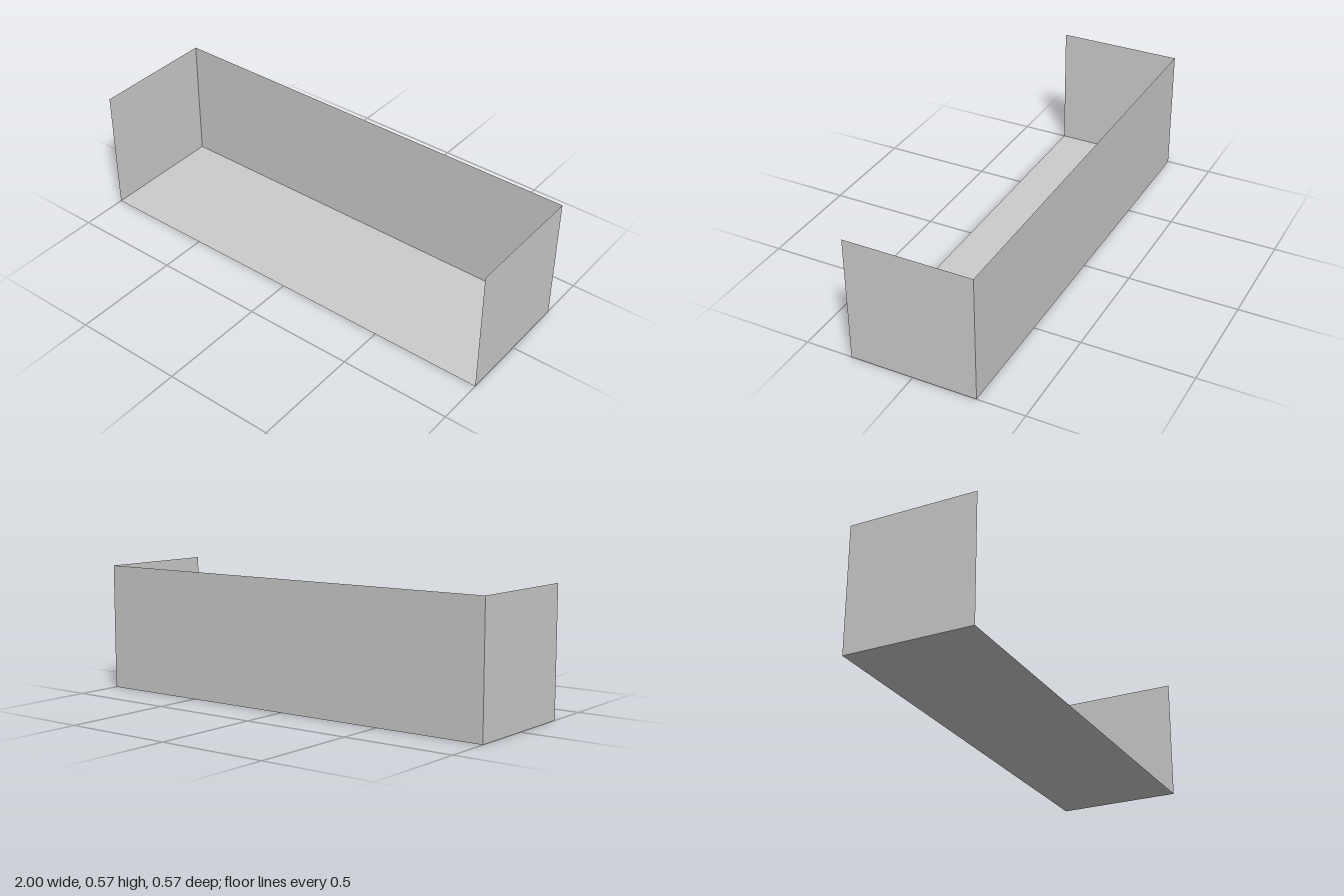
import * as THREE from 'three';

const L = 2, H = 0.573, D = 0.573;

export function createModel() {
  const group = new THREE.Group();
  group.name = 'openTrough';
  const material = new THREE.MeshStandardMaterial({
    color: 0xcccccc, flatShading: true, side: THREE.DoubleSide,
  });

  // Thin flat panel, turned and placed
  const panel = (name, width, height, position, rotation) => {
    const mesh = new THREE.Mesh(new THREE.PlaneGeometry(width, height), material);
    mesh.name = name;
    mesh.position.set(...position);
    mesh.rotation.set(...rotation);
    group.add(mesh);
  };

  // Floor and back wall; the top and front stay open
  panel('floor', L, D, [0, 0, 0], [-Math.PI / 2, 0, 0]);
  panel('backWall', L, H, [0, H / 2, -D / 2], [0, 0, 0]);

  // Mirrored end walls, facing inward
  for (const [name, s] of [['leftEnd', 1], ['rightEnd', -1]]) {
    panel(name, D, H, [s * L / 2, H / 2, 0], [0, -s * Math.PI / 2, 0]);
  }
  return group;
}
